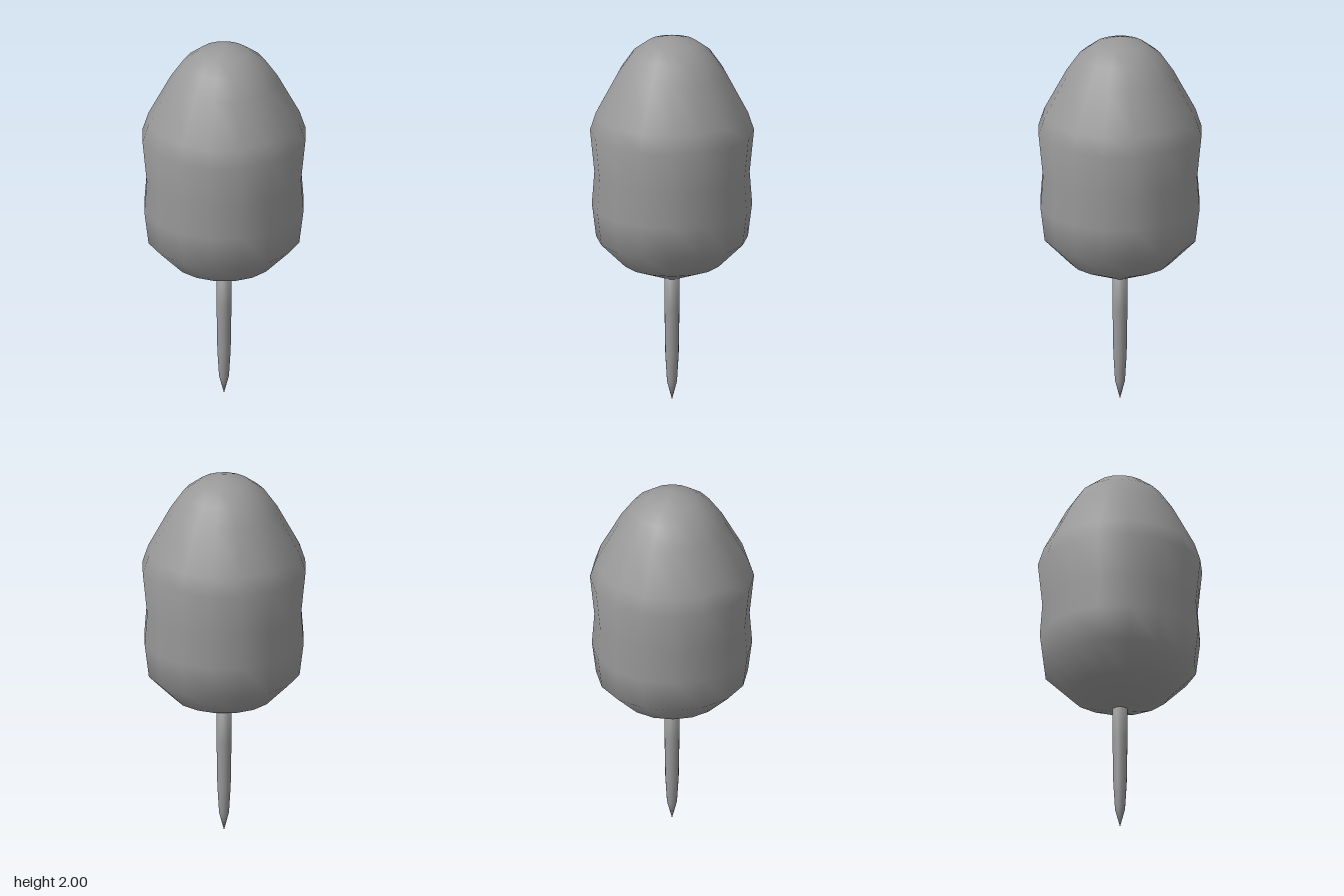
import * as THREE from 'three';

// Smooth round part turned from a list of [radius, height] points, bottom to top
function turned(name, profile, sides) {
  const points = profile.map(([r, y]) => new THREE.Vector2(r, y));
  const geometry = new THREE.LatheGeometry(points, sides);
  const { position, normal } = geometry.attributes;
  const last = points.length - 1;

  // Outward direction of each profile point: both neighbouring edges count equally
  const edges = points.slice(1).map((p, i) => p.clone().sub(points[i]).normalize());
  const outward = points.map((p, i) => {
    if (i === 0) return new THREE.Vector2(0, -1);
    if (i === last) return new THREE.Vector2(0, 1);
    const along = edges[i - 1].clone().add(edges[i]).normalize();
    return new THREE.Vector2(along.y, -along.x);
  });

  // Soft normals, and rings that are very slightly fuller on the diagonals
  for (let s = 0, v = 0; s <= sides; s++) {
    const angle = (s / sides) * Math.PI * 2;
    const sin = Math.sin(angle), cos = Math.cos(angle);
    const full = 1 + 0.016 * Math.sin(2 * angle) ** 2;
    for (let i = 0; i <= last; i++, v++) {
      const r = points[i].x * full;
      position.setXYZ(v, r * sin, points[i].y, r * cos);
      normal.setXYZ(v, outward[i].x * sin, outward[i].y, outward[i].x * cos);
    }
  }

  const mesh = new THREE.Mesh(geometry, new THREE.MeshStandardMaterial({ color: 0x999999 }));
  mesh.name = name;
  return mesh;
}

export function createModel() {
  const group = new THREE.Group();
  group.name = 'treatOnStick';

  // Puffy body with a slight waist and a domed top
  group.add(turned('body', [
    [0, 0.668], [0.04, 0.671], [0.26, 0.761], [0.395, 0.897], [0.417, 1.076],
    [0.404, 1.25], [0.427, 1.48], [0.396, 1.575], [0.28, 1.795],
    [0.21, 1.897], [0.13, 1.957], [0, 2],
  ], 16));

  // Thin stick with a pointed end, running up into the body
  group.add(turned('stick', [
    [0, 0], [0.026, 0.1], [0.035, 0.25], [0.039, 0.5], [0.039, 0.74], [0, 0.76],
  ], 16));

  return group;
}
